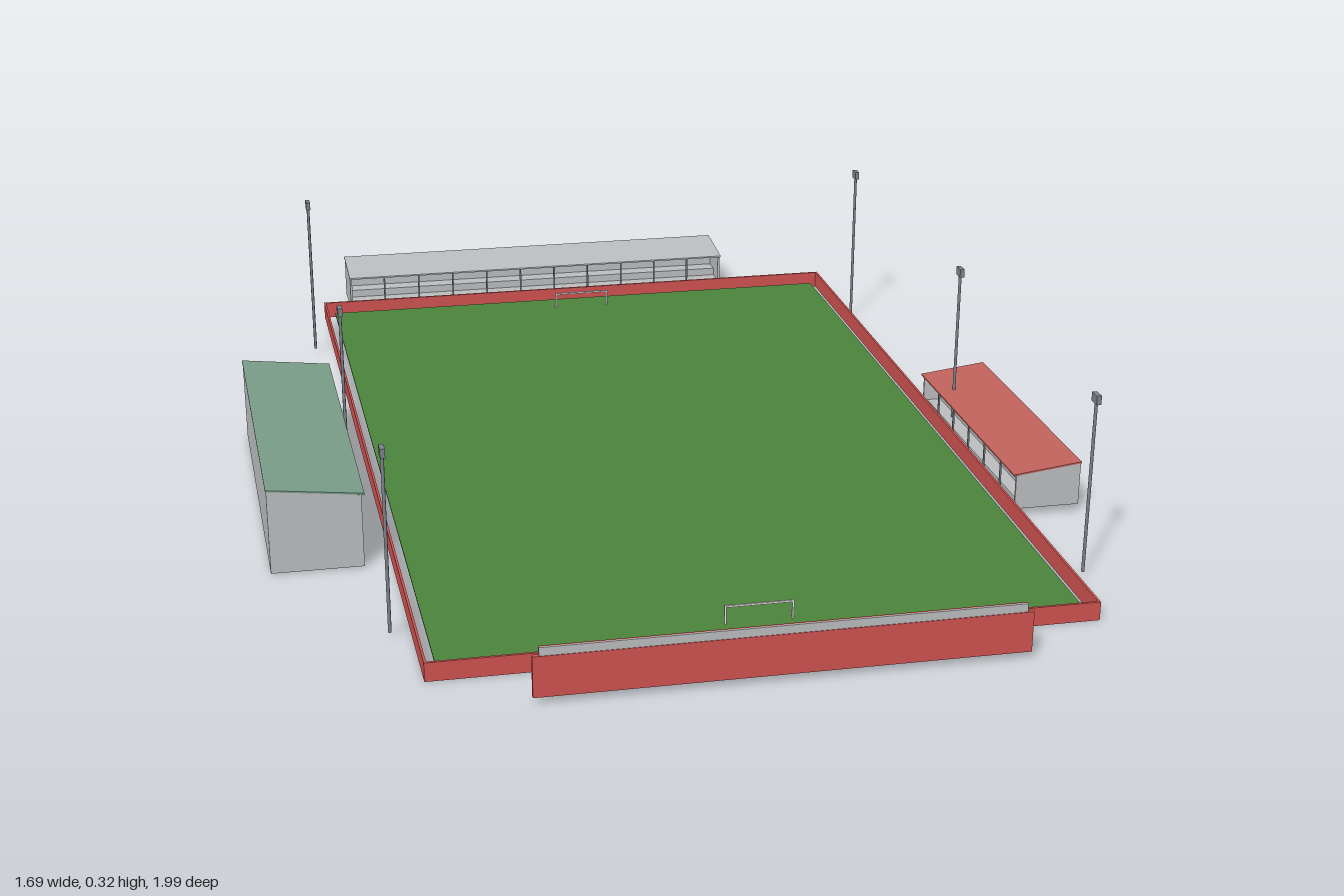
import * as THREE from 'three';

const mat = (name, color) => {
  const m = new THREE.MeshStandardMaterial({ color });
  m.name = name;
  return m;
};

export function createModel() {
  const root = new THREE.Group();
  root.name = 'sportsGround';

  const grass = mat('grass green', 0x4b823b);
  const red = mat('barrier red', 0xcc5250);
  const roofRed = mat('roof red', 0xc0615b);
  const roofGreen = mat('roof green', 0x799d87);
  const grey = mat('concrete grey', 0xb9bbbd);
  const steel = mat('steel grey', 0x7b8188);
  const white = mat('goal white', 0xf0f0f0);

  // Slightly skewed ground axes: x across the pitch, z along it
  const ground = new THREE.Matrix4().set(
    0.823, 0, -0.535, 0,
    0, 1, 0, 0,
    0.567, 0, 0.845, 0.048,
    0, 0, 0, 1);
  // The pitch and its barrier rise gently towards the back
  const slope = ground.clone().multiply(new THREE.Matrix4().set(
    1, 0, 0, 0,
    0, 1, -0.0155, 0.012,
    0, 0, 1, 0,
    0, 0, 0, 1));

  const add = (parent, name, geo, material, matrix) => {
    geo.applyMatrix4(matrix);
    const mesh = new THREE.Mesh(geo, material);
    mesh.name = name;
    parent.add(mesh);
    return mesh;
  };
  // Box given by its lowest and highest corner
  const box = (x0, x1, y0, y1, z0, z1) =>
    new THREE.BoxGeometry(x1 - x0, y1 - y0, z1 - z0)
      .translate((x0 + x1) / 2, (y0 + y1) / 2, (z0 + z1) / 2);
  // Cross-section in x and y, drawn out along z
  const prism = (pts, z0, z1) =>
    new THREE.ExtrudeGeometry(new THREE.Shape(pts.map(p => new THREE.Vector2(...p))),
      { depth: z1 - z0, bevelEnabled: false }).translate(0, 0, z0);
  const group = name => {
    const g = new THREE.Group();
    g.name = name;
    root.add(g);
    return g;
  };

  // Pitch
  add(root, 'pitch', box(-0.511, 0.511, 0.012, 0.015, -0.741, 0.741), grass, slope);

  // Low barrier around the pitch
  const barrier = group('barrier');
  const W = 0.531, L = 0.762, T = 0.004;
  for (const s of [-1, 1]) {
    const x = s * (W - T / 2), z = s * (L - T / 2);
    add(barrier, 'sideBarrier', box(x - T / 2, x + T / 2, 0, 0.032, -L, L), red, slope);
    add(barrier, 'endBarrier', box(-W + T, W - T, 0, 0.032, z - T / 2, z + T / 2), red, slope);
  }

  // Goals
  for (const s of [-1, 1]) {
    const goal = group('goal');
    const z = s * 0.694, r = 0.0015;
    for (const x of [-0.054, 0.054])
      add(goal, 'goalPost', box(x - r, x + r, 0.015, 0.045, z - r, z + r), white, slope);
    add(goal, 'crossbar', box(-0.0555, 0.0555, 0.043, 0.046, z - r, z + r), white, slope);
  }

  // Floodlights, three along each side
  for (const s of [-1, 1]) for (const z of [-0.62, 0, 0.615]) {
    const lamp = group('floodlight');
    const x = s * 0.564;
    add(lamp, 'mast', new THREE.CylinderGeometry(0.0028, 0.0028, 0.3, 8)
      .translate(x, 0.16, z), steel, ground);
    add(lamp, 'lampHead', box(x - 0.004, x + 0.004, 0.308, 0.323, z - 0.01, z + 0.01), steel, ground);
  }

  // Covered stand: solid back and ends, stepped seating, open towards local +x
  function stand(o) {
    const g = group(o.name);
    const m = ground.clone()
      .multiply(new THREE.Matrix4().makeTranslation(o.x, 0, o.z))
      .multiply(new THREE.Matrix4().makeRotationY(o.turn));
    const a = -o.depth / 2, b = o.depth / 2, h = o.length / 2, t = 0.004;
    const { base, back, front } = o;
    const under = 0.003;
    add(g, 'backWall', box(a, a + t, base, back - under - 0.001, -h + t, h - t), grey, m);
    const end = [[a, base], [b - 0.005, base], [b - 0.005, front - under], [a, back - under]];
    add(g, 'endWall', prism(end, -h, -h + t), grey, m);
    add(g, 'endWall', prism(end, h - t, h), grey, m);
    add(g, 'roof', prism([[a - 0.001, back - under], [b, front - under], [b, front], [a - 0.001, back]],
      -h - 0.001, h + 0.001), o.roof, m);

    // Stepped seating
    const x0 = b - 0.012, x1 = a + t;
    const steps = [[x1, base], [x0, base]];
    for (let i = 0; i < o.tiers; i++) {
      const y = o.low + (o.high - o.low) * i / (o.tiers - 1);
      steps.push([x0 + (x1 - x0) * i / o.tiers, y], [x0 + (x1 - x0) * (i + 1) / o.tiers, y]);
    }
    add(g, 'seating', prism(steps.reverse(), -h + t, h - t), grey, m);

    // Front roof posts
    for (let i = 1; i < o.posts; i++) {
      const z = -h + o.length * i / o.posts;
      add(g, 'roofPost', box(b - 0.009, b - 0.006, base, front - under, z - 0.0015, z + 0.0015), steel, m);
    }
  }

  stand({ name: 'mainStand', x: -0.649, z: 0.076, turn: 0, depth: 0.158, length: 0.58,
    base: 0.002, back: 0.152, front: 0.134, low: 0.045, high: 0.112, tiers: 5, posts: 6, roof: roofGreen });
  stand({ name: 'oppositeStand', x: 0.594, z: 0.143, turn: Math.PI, depth: 0.12, length: 0.472,
    base: 0.015, back: 0.095, front: 0.08, low: 0.028, high: 0.062, tiers: 4, posts: 6, roof: roofRed });
  stand({ name: 'backStand', x: -0.07, z: -0.867, turn: -Math.PI / 2, depth: 0.105, length: 0.8,
    base: 0.016, back: 0.1, front: 0.087, low: 0.03, high: 0.06, tiers: 3, posts: 11, roof: grey });

  // Narrow screen wall behind the front goal
  const screen = group('screenWall');
  add(screen, 'screenPanel', box(-0.385, 0.38, 0.012, 0.08, 0.852, 0.859), red, ground);
  add(screen, 'screenUpperPanel', box(-0.375, 0.37, 0.08, 0.094, 0.852, 0.855), red, ground);
  add(screen, 'screenTopStrip', box(-0.375, 0.37, 0.08, 0.094, 0.855, 0.858), grey, ground);

  return root;
}
